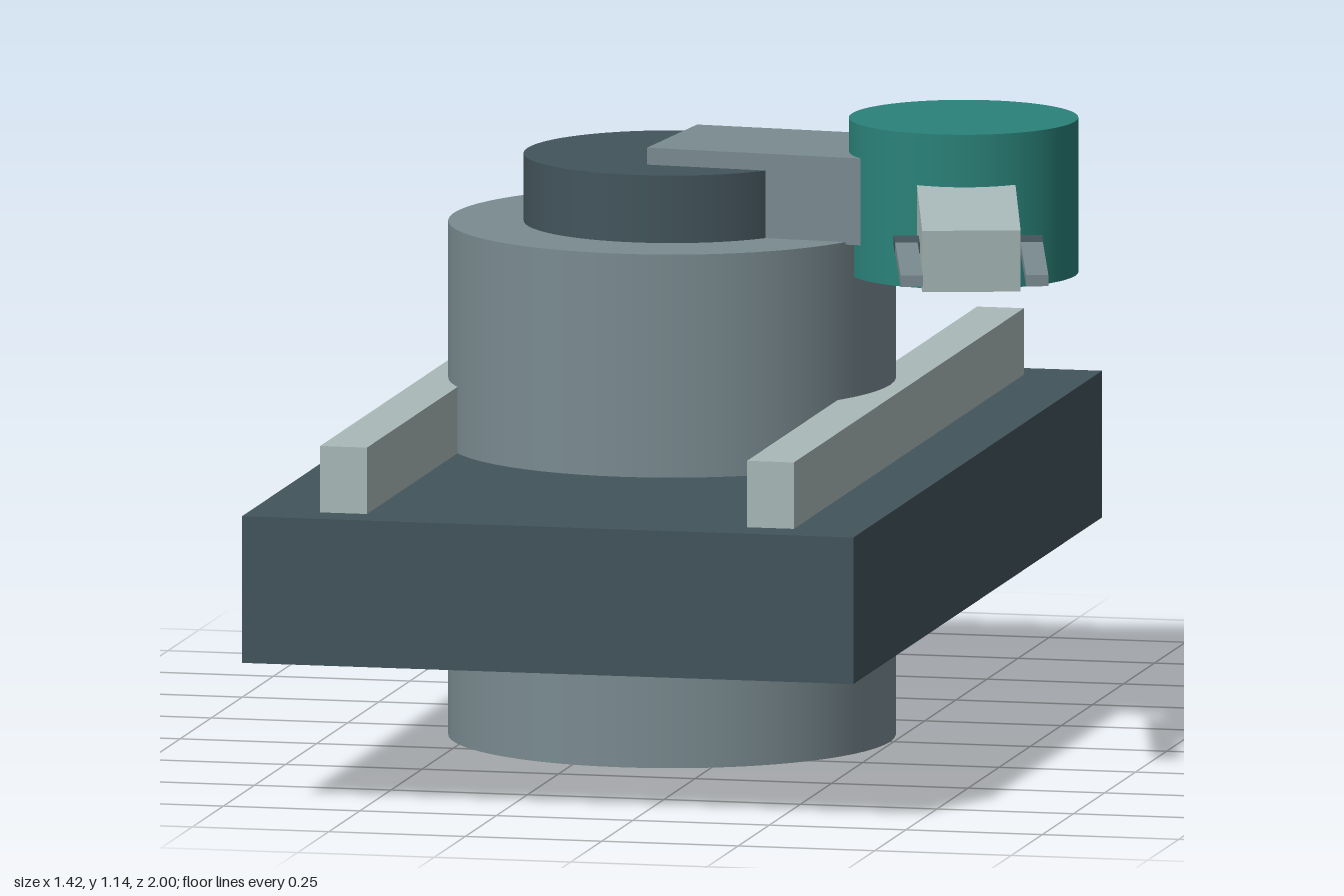
import * as THREE from 'three';

const paint = (name, color) => {
  const m = new THREE.MeshStandardMaterial({ color });
  m.name = name;
  return m;
};

export function createModel() {
  const slate = paint('dark slate', 0x43545c);
  const steel = paint('steel grey', 0x7a8b91);
  const pale = paint('pale grey', 0xa9b9b9);
  const teal = paint('teal', 0x2a8279);

  const model = new THREE.Group();
  model.name = 'robotArmStation';

  const add = (parent, name, geometry, material, x, y, z) => {
    const mesh = new THREE.Mesh(geometry, material);
    mesh.name = name;
    mesh.position.set(x, y, z);
    parent.add(mesh);
    return mesh;
  };
  const box = (w, h, d) => new THREE.BoxGeometry(w, h, d);
  // Upright cylinder standing between two heights
  const drum = (name, r, y0, y1, material, x, z) =>
    add(model, name, new THREE.CylinderGeometry(r, r, y1 - y0, 64), material, x, (y0 + y1) / 2, z);

  const cx = -0.156; // column axis
  const ex = 0.39, ez = 0.052; // elbow axis

  // Platform with the column passing through it
  add(model, 'platform', box(1.12, 0.265, 2), slate, cx, 0.3925, 0);
  drum('column', 0.4, 0, 0.928, steel, cx, 0);
  drum('turntable', 0.265, 0.92, 1.05, slate, cx, 0);

  // Pair of guide rails
  for (const s of [-1, 1]) {
    add(model, s < 0 ? 'rightRail' : 'leftRail', box(0.086, 0.122, 1.85), pale, cx + s * 0.391, 0.584, 0);
  }

  // Upper arm running from the column axis to the elbow
  const arm = add(model, 'upperArm', box(Math.hypot(ex - cx, ez), 0.157, 0.286), steel, (cx + ex) / 2, 1.002, ez / 2);
  arm.rotation.y = -Math.atan2(ez, ex - cx);
  drum('elbow', 0.205, 0.862, 1.141, teal, ex, ez);

  // Forearm and gripper swing about the elbow axis
  const gripper = new THREE.Group();
  gripper.name = 'gripper';
  gripper.position.set(ex, 0, ez);
  gripper.rotation.y = 0.249;
  model.add(gripper);

  const forearm = add(gripper, 'forearm', box(0.176, 0.112, 0.55), pale, 0, 0.985, 0.275);
  forearm.rotation.x = 0.07;
  add(gripper, 'gripperBar', box(0.265, 0.02, 0.08), slate, 0, 0.965, 0.345);
  for (const s of [-1, 1]) {
    add(gripper, s < 0 ? 'rightFinger' : 'leftFinger', box(0.04, 0.02, 0.39), steel, s * 0.112, 0.965, 0.58);
  }

  return model;
}
